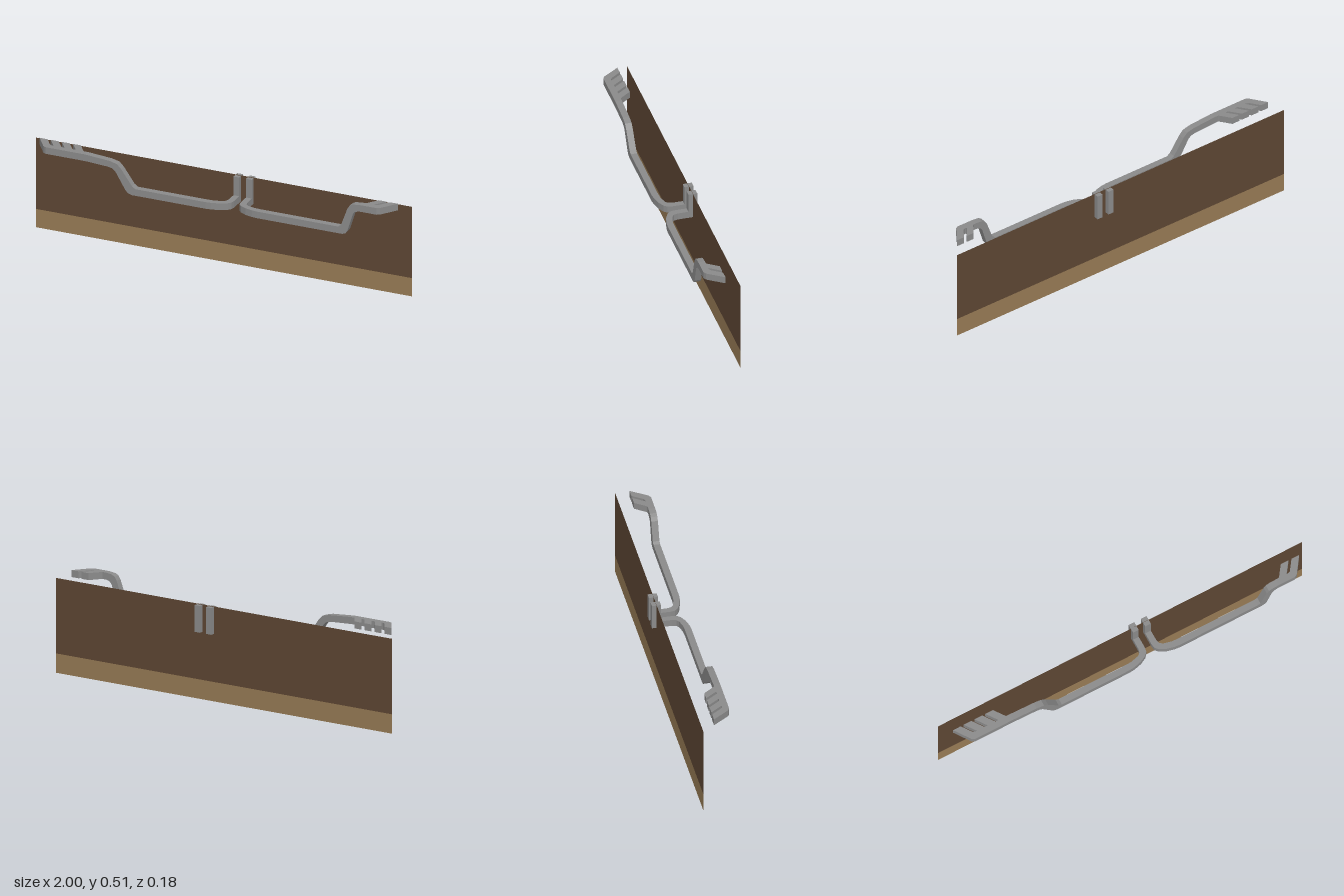
import * as THREE from 'three';

export function createModel() {
  const model = new THREE.Group();
  const metal = new THREE.MeshStandardMaterial({ color: 0x8a8a8a });
  metal.name = 'grey metal';
  const soil = new THREE.MeshStandardMaterial({ color: 0x5d4633, side: THREE.DoubleSide });
  soil.name = 'dark brown';
  const sand = new THREE.MeshStandardMaterial({ color: 0x967a54, side: THREE.DoubleSide });
  sand.name = 'tan';

  const zBoard = -0.065, low = 0.338, high = 0.473, thick = 0.035;
  const zIn = 0.055, zOut = 0.088;

  function add(name, geometry, material) {
    const mesh = new THREE.Mesh(geometry, material);
    mesh.name = name;
    model.add(mesh);
    return mesh;
  }
  const extrude = (points, depth) => new THREE.ExtrudeGeometry(
    new THREE.Shape(points.map(([x, y]) => new THREE.Vector2(x, y))),
    { depth, bevelEnabled: false });

  // Outline in x, y, pulled along z
  const elevation = (name, points) =>
    add(name, extrude(points, zOut - zIn).translate(0, 0, zIn), metal);

  // Outline in x, z, raised from y
  const plan = (name, points, y) =>
    add(name, extrude(points.map(([x, z]) => [x, -z]), thick).rotateX(-Math.PI / 2).translate(0, y, 0), metal);

  // Thin upright board in two colour bands
  const band = (name, y0, y1, material) =>
    add(name, new THREE.PlaneGeometry(2, y1 - y0).translate(0, (y0 + y1) / 2, zBoard), material);
  band('boardLowerBand', 0, 0.097, sand);
  band('boardUpperBand', 0.097, 0.475, soil);

  // Long stepped rails
  elevation('rightRail', [
    [-0.88, 0.508], [-0.67, 0.508], [-0.54, 0.498], [-0.5, 0.488], [-0.477, 0.465],
    [-0.42, 0.385], [-0.402, 0.373], [-0.03, 0.373], [-0.03, low], [-0.42, low],
    [-0.443, 0.345], [-0.457, 0.362], [-0.508, 0.447], [-0.525, 0.461], [-0.55, 0.466],
    [-0.67, high], [-0.88, high],
  ]);
  elevation('leftRail', [
    [0.248, 0.373], [0.675, 0.373], [0.69, 0.382], [0.725, 0.477], [0.737, 0.495],
    [0.755, 0.504], [0.79, 0.508], [0.88, 0.508], [0.88, high], [0.785, high],
    [0.765, 0.466], [0.755, 0.455], [0.725, 0.36], [0.715, 0.345], [0.698, low], [0.248, low],
  ]);

  // Curved arms running back through the board, each ending in a post
  const arm = [
    [-0.03, zIn], [0, 0.053], [0.04, 0.043], [0.054, 0.032], [0.06, 0.01],
    [0.06, -0.088], [0.091, -0.088], [0.091, 0.02], [0.087, 0.042], [0.073, 0.058],
    [0.04, 0.075], [0, 0.085], [-0.03, zOut],
  ];
  const mirrorX = 0.218;
  plan('rightArm', arm, low);
  plan('leftArm', arm.map(([x, z]) => [mirrorX - x, z]), low);
  for (const [name, x] of [['rightPost', 0.0755], ['leftPost', mirrorX - 0.0755]]) {
    add(name, new THREE.BoxGeometry(0.031, 0.099, 0.045).translate(x, 0.4225, -0.0655), metal);
  }

  // Slanted fingers at both outer ends
  for (const [side, s, count] of [['right', -1, 4], ['left', 1, 2]]) {
    plan(side + 'EndFinger', [
      [0.952, -0.003], [0.91, -0.003], [0.872, 0.05], [0.86, zIn],
      [0.86, zOut], [0.88, zOut], [0.895, 0.079],
    ].map(([x, z]) => [s * x, z]), high);
    for (let i = 1; i < count; i++) {
      const shift = i * 0.059;
      plan(side + 'Finger' + i, [
        [0.952, -0.003], [0.91, -0.003], [0.872, 0.05], [0.862, 0.06], [0.907, 0.06],
      ].map(([x, z]) => [s * (x - shift), z]), high);
    }
  }
  return model;
}
